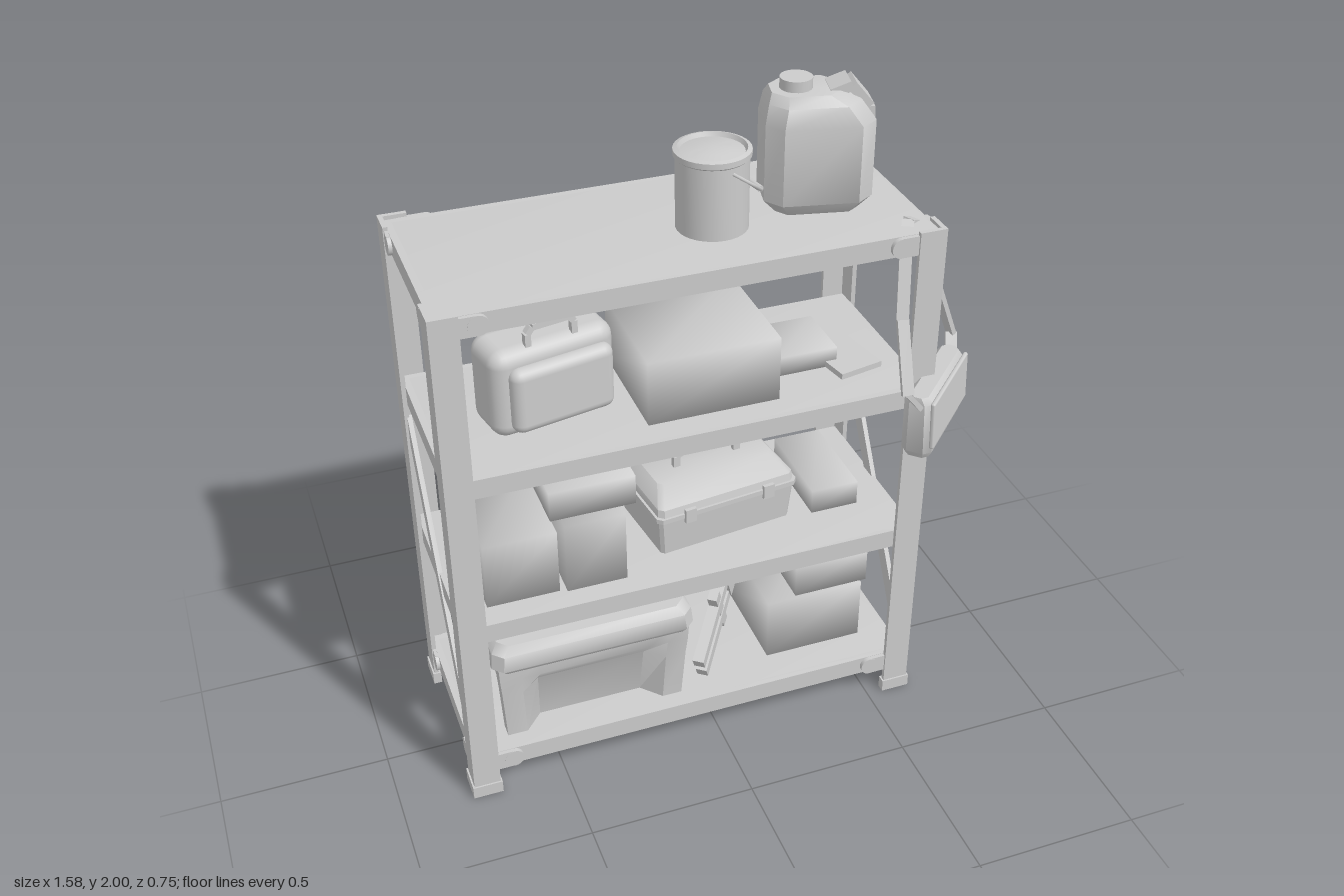
import * as THREE from 'three';
import { mergeVertices, toCreasedNormals } from 'three/addons/utils/BufferGeometryUtils.js';
import { RoundedBoxGeometry } from 'three/addons/geometries/RoundedBoxGeometry.js';

const mat = new THREE.MeshStandardMaterial({ color: 0xcccccc, side: THREE.DoubleSide });
const V = (x, y, z) => new THREE.Vector3(x, y, z);

function add(parent, name, geo, x = 0, y = 0, z = 0) {
  const m = new THREE.Mesh(geo, mat);
  m.name = name;
  m.position.set(x, y, z);
  parent.add(m);
  return m;
}

function group(parent, name, x, y, z, turn = 0) {
  const g = new THREE.Group();
  g.name = name;
  g.position.set(x, y, z);
  g.rotation.y = turn;
  parent.add(g);
  return g;
}

// Box with softly blended corner normals, given by its extents
function softBox(parent, name, x0, x1, y0, y1, z0, z1) {
  let g = new THREE.BoxGeometry(x1 - x0, y1 - y0, z1 - z0);
  g.deleteAttribute('normal');
  g.deleteAttribute('uv');
  g = mergeVertices(g);
  g.computeVertexNormals();
  return add(parent, name, g, (x0 + x1) / 2, (y0 + y1) / 2, (z0 + z1) / 2);
}

// Flat bar between two points
function bar(parent, name, a, b, w, t) {
  const m = new THREE.Mesh(new THREE.BoxGeometry(w, t, a.distanceTo(b)), mat);
  m.name = name;
  m.position.copy(a).add(b).multiplyScalar(0.5);
  m.lookAt(b);
  parent.add(m);
  return m;
}

function bars(parent, name, pts, w, t) {
  for (let i = 1; i < pts.length; i++) bar(parent, name, pts[i - 1], pts[i], w, t);
}

// Closed skin over rings of equal point count, bottom to top
function loft(rings) {
  const n = rings[0].length, pos = [], idx = [];
  rings.forEach(r => r.forEach(p => pos.push(p.x, p.y, p.z)));
  for (let k = 0; k < rings.length - 1; k++) {
    for (let i = 0; i < n; i++) {
      const a = k * n + i, b = k * n + (i + 1) % n;
      idx.push(a, b, b + n, a, b + n, a + n);
    }
  }
  [0, rings.length - 1].forEach((k, top) => {
    const c = pos.length / 3, mid = V(0, 0, 0);
    rings[k].forEach(p => mid.addScaledVector(p, 1 / n));
    pos.push(mid.x, mid.y, mid.z);
    for (let i = 0; i < n; i++) {
      const a = k * n + i, b = k * n + (i + 1) % n;
      idx.push(c, top ? a : b, top ? b : a);
    }
  });
  const g = new THREE.BufferGeometry();
  g.setAttribute('position', new THREE.Float32BufferAttribute(pos, 3));
  g.setIndex(idx);
  return toCreasedNormals(g, 0.7);
}

// Rectangle with cut corners
function ring(y, w, d, c, ox = 0) {
  const a = w / 2, b = d / 2;
  return [[a, b - c], [a, c - b], [a - c, -b], [c - a, -b], [-a, c - b], [-a, b - c], [c - a, b], [a - c, b]]
    .map(([x, z]) => V(x + ox, y, z));
}

// Rectangle with a hollow in the middle of each side
function hollowRing(y, w, d, inset) {
  const out = [];
  for (const [nx, nz] of [[1, 0], [0, -1], [-1, 0], [0, 1]]) {
    const hn = (nx ? w : d) / 2, ht = (nx ? d : w) / 2;
    [[-1, 0], [-0.78, 0], [-0.58, 1], [0.58, 1], [0.78, 0]].forEach(([s, k]) => {
      const h = hn - k * inset;
      out.push(V(nx * h + nz * s * ht, y, nz * h - nx * s * ht));
    });
  }
  return out;
}

function angleSection(size, t, height) {
  const s = new THREE.Shape([[0, 0], [size, 0], [size, t], [t, t], [t, size], [0, size]]
    .map(p => new THREE.Vector2(...p)));
  return new THREE.ExtrudeGeometry(s, { depth: height, bevelEnabled: false }).rotateX(Math.PI / 2).translate(0, height, 0);
}

function buildRack(model) {
  const rack = group(model, 'rack', -0.075, 0, -0.06);
  const hx = 0.715, hz = 0.31;
  [[-1, -1, 0], [-1, 1, 1], [1, 1, 2], [1, -1, 3]].forEach(([sx, sz, q]) => {
    // Corner post and foot: the angle opens toward the middle of the rack
    const post = group(rack, 'post', sx * (hx - 0.005), 0, sz * (hz - 0.005), q * Math.PI / 2);
    add(post, 'angleUpright', angleSection(0.08, 0.014, 1.64));
    add(post, 'foot', angleSection(0.09, 0.026, 0.04), -0.005, 0, -0.005);
    // Rounded corner plates on the top and bottom shelves
    for (const y of [0.11, 1.6]) {
      for (const side of [0, 1]) {
        const plate = group(rack, 'cornerPlate', side ? sx * 0.7 : sx * 0.6, y, side ? sz * 0.2 : sz * 0.292, side ? Math.PI / 2 : 0);
        add(plate, 'plate', new THREE.BoxGeometry(0.08, 0.058, 0.014), side ? -sz * 0.03 * sx * sx : sx * 0.02);
        add(plate, 'roundEnd', new THREE.CylinderGeometry(0.029, 0.029, 0.016, 20).rotateX(Math.PI / 2), side ? 0 : -sx * 0.02);
      }
    }
  });
  // Shelf panels with hanging edge rails
  for (const top of [0.14, 0.63, 1.13, 1.63]) {
    const shelf = group(rack, 'shelf', 0, top, 0);
    softBox(shelf, 'panel', -0.695, 0.695, -0.02, 0, -0.285, 0.285);
    for (const s of [-1, 1]) {
      add(shelf, 'longRail', new THREE.BoxGeometry(1.39, 0.06, 0.02), 0, -0.03, s * 0.277);
      add(shelf, 'endRail', new THREE.BoxGeometry(0.02, 0.06, 0.57), s * 0.687, -0.03, 0);
    }
  }
  // Diagonal end braces
  for (const s of [-1, 1]) bar(rack, 'brace', V(s * 0.695, 0.2, 0.24), V(s * 0.695, 1.02, -0.25), 0.014, 0.05);
}

function buildTopItems(model) {
  // Paint can with a dropped wire handle
  const can = group(model, 'paintCan', 0.057, 1.63, -0.015, 0.2);
  const profile = [[0, 0], [0.1, 0], [0.1, 0.205], [0.106, 0.21], [0.106, 0.226], [0.094, 0.23], [0.088, 0.218], [0.05, 0.226], [0, 0.23]];
  add(can, 'canBody', toCreasedNormals(new THREE.LatheGeometry(profile.map(p => new THREE.Vector2(...p)), 32), 0.6));
  const wire = [V(0, 0.19, 0.1), V(0.05, 0.155, 0.122), V(0.11, 0.105, 0.07), V(0.13, 0.09, 0), V(0.11, 0.105, -0.07), V(0.05, 0.155, -0.122), V(0, 0.19, -0.1)];
  add(can, 'wireHandle', new THREE.TubeGeometry(new THREE.CatmullRomCurve3(wire), 32, 0.005, 6));
  add(can, 'grip', new THREE.CylinderGeometry(0.009, 0.009, 0.08, 10).rotateX(Math.PI / 2), 0.13, 0.09, 0);

  // Fuel canister
  const canister = group(model, 'canister', 0.37, 1.63, -0.05, -0.22);
  add(canister, 'canisterBody', loft([ring(0, 0.23, 0.15, 0.03), ring(0.04, 0.3, 0.21, 0.045),
    ring(0.26, 0.3, 0.21, 0.045), ring(0.315, 0.25, 0.19, 0.045, -0.015), ring(0.34, 0.19, 0.14, 0.04, -0.035)]));
  add(canister, 'cap', new THREE.CylinderGeometry(0.045, 0.045, 0.04, 20), -0.06, 0.35, 0);
  bars(canister, 'handle', [V(0.03, 0.33, 0), V(0.085, 0.35, 0), V(0.135, 0.29, 0), V(0.14, 0.22, 0)], 0.08, 0.028);
}

function buildUpperItems(model) {
  // Soft carry case with front pocket and twin handles
  const bag = group(model, 'carryCase', -0.43, 1.13, -0.03, 0.2);
  add(bag, 'caseBody', new RoundedBoxGeometry(0.375, 0.27, 0.17, 3, 0.045), 0, 0.135, 0);
  add(bag, 'pocket', new RoundedBoxGeometry(0.31, 0.2, 0.06, 3, 0.03), 0.01, 0.125, 0.09);
  for (const z of [-0.055, 0.055]) {
    bars(bag, 'caseHandle', [V(-0.07, 0.2, z), V(-0.07, 0.3, z), V(-0.055, 0.318, z), V(0.055, 0.318, z), V(0.07, 0.3, z), V(0.07, 0.2, z)], 0.018, 0.018);
  }
  softBox(model, 'wideCarton', -0.185, 0.205, 1.13, 1.33, -0.24, 0.14);
  softBox(model, 'smallCarton', 0.24, 0.43, 1.13, 1.19, -0.16, 0.03);
  add(model, 'flatPad', new THREE.BoxGeometry(0.14, 0.018, 0.2), 0.46, 1.14, 0).rotation.y = 0.2;

  // Shoulder bag hung over the front corner post
  const satchel = group(model, 'shoulderBag', 0.645, 0.97, 0.23, Math.PI / 4);
  add(satchel, 'satchelBody', loft([ring(0, 0.27, 0.07, 0.015), ring(0.02, 0.29, 0.09, 0.02), ring(0.19, 0.32, 0.085, 0.02), ring(0.21, 0.31, 0.05, 0.015)]));
  add(satchel, 'flap', new RoundedBoxGeometry(0.31, 0.15, 0.014, 2, 0.006), 0, 0.125, 0.047).rotation.x = -0.04;
  bars(model, 'strap', [V(0.54, 1.15, 0.34), V(0.5, 1.2, 0.345), V(0.505, 1.4, 0.27), V(0.535, 1.61, 0.2), V(0.56, 1.635, 0.155),
    V(0.62, 1.61, 0.125), V(0.69, 1.4, 0.1), V(0.77, 1.2, 0.08), V(0.76, 1.15, 0.11)], 0.034, 0.014);
}

function buildMiddleItems(model) {
  softBox(model, 'carton', -0.68, -0.465, 0.63, 0.84, -0.18, 0.15);
  softBox(model, 'tallCarton', -0.445, -0.265, 0.63, 0.86, -0.14, 0.16);
  softBox(model, 'upperCarton', -0.475, -0.22, 0.86, 0.955, -0.18, 0.12);
  softBox(model, 'lowCarton', 0.36, 0.51, 0.63, 0.71, -0.24, 0.06);

  // Toolbox with sloping lid
  const box = group(model, 'toolbox', 0.062, 0.63, -0.065, 0.12);
  add(box, 'toolboxBody', loft([ring(0, 0.43, 0.27, 0.01), ring(0.13, 0.45, 0.29, 0.01)]));
  add(box, 'toolboxRim', loft([ring(0.122, 0.465, 0.305, 0.015), ring(0.137, 0.465, 0.305, 0.015)]));
  add(box, 'toolboxLid', loft([ring(0.137, 0.45, 0.29, 0.015), ring(0.16, 0.445, 0.28, 0.015), ring(0.2, 0.38, 0.14, 0.015)]));
  bars(box, 'toolboxHandle', [V(-0.1, 0.19, 0), V(-0.1, 0.235, 0), V(-0.085, 0.245, 0), V(0.085, 0.245, 0), V(0.1, 0.235, 0), V(0.1, 0.19, 0)], 0.022, 0.016);
  for (const x of [-0.13, 0.13]) add(box, 'latch', new THREE.BoxGeometry(0.035, 0.045, 0.012), x, 0.13, 0.154);
}

function buildLowerItems(model) {
  // Storage tub with hollowed sides and overhanging lid
  const tub = group(model, 'storageTub', -0.38, 0.14, -0.03);
  add(tub, 'tubBody', loft([hollowRing(0, 0.55, 0.4, 0.06), hollowRing(0.17, 0.57, 0.425, 0.045), hollowRing(0.23, 0.58, 0.44, 0), hollowRing(0.28, 0.585, 0.445, 0)]));
  add(tub, 'tubLid', loft([ring(0.27, 0.6, 0.46, 0.03), ring(0.285, 0.62, 0.48, 0.03), ring(0.335, 0.61, 0.47, 0.03), ring(0.36, 0.57, 0.43, 0.03)]));

  softBox(model, 'largeCarton', 0.205, 0.52, 0.14, 0.35, -0.25, 0.11);
  softBox(model, 'stackedCarton', 0.3, 0.54, 0.35, 0.47, -0.21, 0.1);

  // Leaning clamp: twin rails, a centre pad and cross pegs
  const a = V(-0.04, 0.2, 0.16), b = V(0.25, 0.45, -0.22);
  const tool = group(model, 'clampTool', (a.x + b.x) / 2, (a.y + b.y) / 2, (a.z + b.z) / 2);
  tool.lookAt(b);
  for (const y of [-0.035, 0.035]) add(tool, 'rail', new THREE.BoxGeometry(0.035, 0.04, 0.53), 0, y, 0);
  add(tool, 'pad', new THREE.BoxGeometry(0.045, 0.1, 0.2), 0, 0, 0.11);
  for (const z of [-0.06, 0.19]) add(tool, 'peg', new THREE.BoxGeometry(0.03, 0.2, 0.035), 0, 0, z);
}

export function createModel() {
  const model = new THREE.Group();
  model.name = 'storageRack';
  buildRack(model);
  buildTopItems(model);
  buildUpperItems(model);
  buildMiddleItems(model);
  buildLowerItems(model);
  return model;
}
